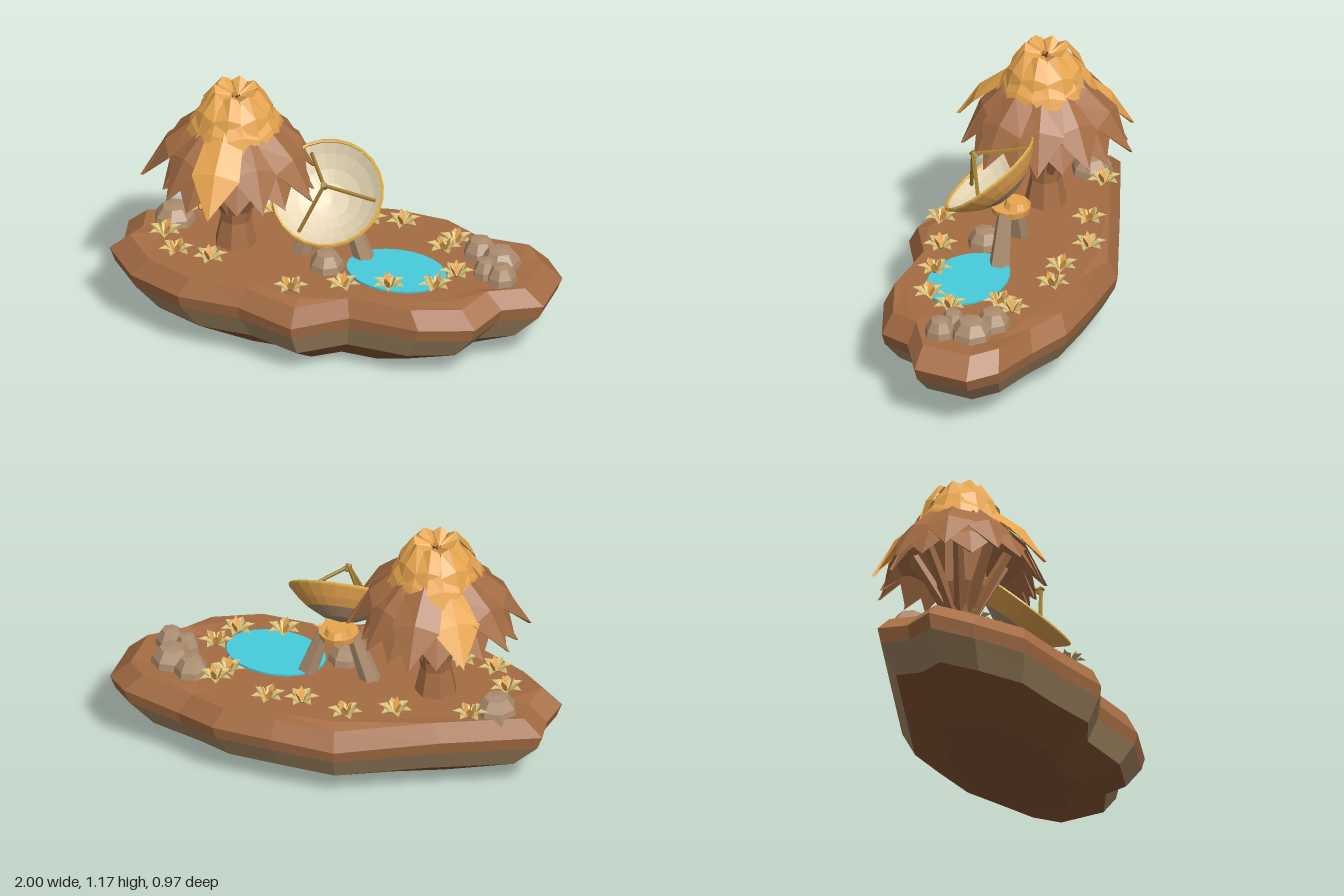
import * as THREE from 'three';

const mat = (name, color) => {
  const m = new THREE.MeshStandardMaterial({ color, flatShading: true, side: THREE.DoubleSide });
  m.name = name;
  return m;
};

export function createModel() {
  const M = {
    earth: mat('terracotta', 0xa56d44), strata: mat('stone strata', 0xa58964),
    soil: mat('dark soil', 0x845433), gold: mat('golden leaf', 0xe8a64f),
    rock: mat('rock', 0xac8d6f), water: mat('water', 0x46cbdc),
    cream: mat('cream', 0xe8d9b8), brass: mat('brass', 0xdcac48),
    strut: mat('dark brass', 0xa07c30), sprout: mat('pale sprout', 0xd6c07a),
  };
  const model = new THREE.Group();
  model.name = 'floatingIsland';
  const add = (name, geo, material, parent = model, x = 0, y = 0, z = 0) => {
    const mesh = new THREE.Mesh(geo, material);
    mesh.name = name;
    mesh.position.set(x, y, z);
    parent.add(mesh);
    return mesh;
  };
  const group = (name, x = 0, y = 0, z = 0) => {
    const g = new THREE.Group();
    g.name = name;
    g.position.set(x, y, z);
    model.add(g);
    return g;
  };
  const V = (x, y, z) => new THREE.Vector3(x, y, z);
  const facets = (pts) => {
    const g = new THREE.BufferGeometry().setFromPoints(pts);
    g.computeVertexNormals();
    return g;
  };
  const lathe = (pts, sides) => new THREE.LatheGeometry(pts.map((p) => new THREE.Vector2(...p)), sides);

  // Tapered bar between two points
  const bar = (name, a, b, ra, rb, sides, material, parent) => {
    const dir = b.clone().sub(a);
    const mid = a.clone().add(b).multiplyScalar(0.5);
    const mesh = add(name, new THREE.CylinderGeometry(rb, ra, dir.length(), sides), material, parent, mid.x, mid.y, mid.z);
    mesh.quaternion.setFromUnitVectors(V(0, 1, 0), dir.normalize());
  };

  // Island: one outline, scaled into rings at several heights
  const outline = [[-0.97, -0.21], [-0.54, -0.35], [-0.09, -0.49], [0.2, -0.48], [0.47, -0.44], [0.65, -0.34],
    [0.91, -0.27], [1, -0.15], [0.97, 0.1], [0.8, 0.19], [0.71, 0.34], [0.47, 0.41], [0.15, 0.37],
    [-0.09, 0.48], [-0.35, 0.39], [-0.63, 0.35], [-0.87, 0.21], [-1, 0.05], [-0.96, -0.07]];
  const n = outline.length;
  const ring = (s, y, wave, rise) => outline.map(([x, z], i) => V(x * s, y + wave * Math.sin(i * 2.3) + rise * x * x, z * s));
  const rings = [ring(0.8, 0.379, 0, 0), ring(0.91, 0.372, 0.012, 0.015), ring(1, 0.288, 0.014, 0.02),
    ring(0.975, 0.23, 0.012, 0.015), ring(0.86, 0.122, 0.01, 0.01), ring(0.52, 0.005, 0.005, 0)];
  const band = (k) => {
    const pts = [];
    for (let i = 0; i < n; i++) {
      const j = (i + 1) % n, u = rings[k], l = rings[k + 1];
      pts.push(u[i], u[j], l[i], u[j], l[j], l[i]);
    }
    return pts;
  };
  const cap = (r, c, up) => r.flatMap((p, i) => (up ? [c, r[(i + 1) % n], p] : [c, p, r[(i + 1) % n]]));
  const island = group('island');
  add('ground', facets([...cap(rings[0], V(0, 0.379, 0), true), ...band(0), ...band(1), ...band(2)]), M.earth, island);
  add('strataBand', facets(band(3)), M.strata, island);
  add('underside', facets([...band(4), ...cap(rings[5], V(0, 0.005, 0), false)]), M.soil, island);

  // Pond
  const pond = add('pond', new THREE.CylinderGeometry(1, 1, 0.02, 24), M.water, model, 0.3, 0.378, 0.075);
  pond.scale.set(0.23, 1, 0.17);
  pond.rotation.y = -0.2;

  // Folded leaf: stations of [radius, height, half width], ridge raised along the middle
  const leaf = (stations, angle, ridge, k = 1) => {
    const c = Math.cos(angle), s = Math.sin(angle);
    const at = (r, y, w) => V(r * c - w * s, y, r * s + w * c);
    const rows = stations.map(([r, y, w]) => [at(r * k, y, -w), at(r * k + ridge * 0.5, y + ridge * (w > 0), 0), at(r * k, y, w)]);
    const pts = [];
    for (let i = 0; i + 1 < rows.length; i++) {
      for (let j = 0; j < 2; j++) {
        const a = rows[i][j], b = rows[i][j + 1], d = rows[i + 1][j], e = rows[i + 1][j + 1];
        pts.push(a, b, d, b, e, d);
      }
    }
    return pts;
  };

  // Tree: flared trunk, branches and tiers of broad leaves
  const tree = group('tree', -0.45, 0, -0.035);
  add('trunk', lathe([[0.1, 0.36], [0.085, 0.43], [0.07, 0.5], [0.08, 0.58], [0.12, 0.68], [0.12, 0.9]], 7), M.earth, tree);
  for (let i = 0; i < 9; i++) {
    const a = i * Math.PI * 2 / 9;
    bar('branch', V(0.05 * Math.cos(a), 0.56, 0.05 * Math.sin(a)), V(0.21 * Math.cos(a), 0.83, 0.21 * Math.sin(a)), 0.028, 0.024, 5, M.earth, tree);
  }
  add('canopyCore', lathe([[0.25, 0.84], [0.18, 0.94], [0.11, 1.04], [0.001, 1.1]], 10), M.earth, tree);
  const tier = (name, count, turn, stations, ridge, material, goldLeaves = []) => {
    const plain = [], golden = [];
    for (let i = 0; i < count; i++) {
      const k = 1 + 0.06 * Math.sin(i * 2.7 + turn);
      const pts = leaf(stations, turn + i * Math.PI * 2 / count, ridge, k);
      (goldLeaves.includes(i) ? golden : plain).push(...pts);
    }
    add(name, facets(plain), material, tree);
    if (golden.length) add(name + 'Golden', facets(golden), M.gold, tree);
  };
  tier('innerLeaves', 10, 0.08, [[0.1, 1.0, 0.05], [0.2, 0.91, 0.09], [0.28, 0.82, 0.11], [0.35, 0.71, 0]], 0.025, M.earth);
  tier('outerLeaves', 10, -0.23, [[0.09, 1.05, 0.05], [0.18, 0.97, 0.09], [0.285, 0.875, 0.11], [0.39, 0.725, 0]], 0.03, M.earth, [3, 7]);
  tier('lowerCrown', 8, 0.39, [[0.05, 1.1, 0.03], [0.13, 1.075, 0.06], [0.18, 1.0, 0.075], [0.225, 0.915, 0]], 0.02, M.gold);
  tier('upperCrown', 8, 0, [[0.015, 1.12, 0.01], [0.09, 1.155, 0.035], [0.15, 1.07, 0.07], [0.195, 0.945, 0]], 0.02, M.gold);

  // Dish stand
  const stand = group('dishStand');
  for (const s of [-1, 1]) bar('standLeg', V(s * 0.145 - 0.005, 0.36, -0.015), V(s * 0.065 - 0.005, 0.6, -0.015), 0.048, 0.032, 6, M.rock, stand);
  add('collar', new THREE.CylinderGeometry(0.09, 0.085, 0.03, 12), M.gold, stand, -0.005, 0.597, -0.022);
  add('mount', new THREE.CylinderGeometry(0.045, 0.06, 0.03, 10), M.gold, stand, -0.005, 0.625, -0.05);

  // Dish: cream bowl, two-tone back, rim and three feed struts
  const dish = group('dish', -0.01, 0.75, 0.08);
  dish.rotation.x = 0.72;
  const bowl = (radii, drop) => lathe(radii.map((r) => [r, -0.125 * (1 - (r / 0.248) ** 2) - drop]), 24);
  add('bowl', bowl([0.001, 0.08, 0.14, 0.2, 0.245], 0), M.cream, dish);
  add('backCentre', bowl([0.001, 0.08, 0.155], 0.01), M.rock, dish);
  add('backRing', bowl([0.155, 0.2, 0.25], 0.01), M.gold, dish);
  const rim = add('rim', new THREE.TorusGeometry(0.244, 0.008, 5, 24), M.brass, dish);
  rim.rotation.x = Math.PI / 2;
  for (let i = 0; i < 3; i++) {
    const a = i * Math.PI * 2 / 3;
    bar('feedStrut', V(0.21 * Math.cos(a), -0.03, 0.21 * Math.sin(a)), V(0, 0.115, 0), 0.009, 0.009, 5, M.strut, dish);
  }
  add('feed', new THREE.CylinderGeometry(0.015, 0.015, 0.035, 6), M.strut, dish, 0, 0.108, 0);

  // Rocks: low faceted domes
  const rocks = [[0.63, -0.15, 0.08], [0.735, -0.085, 0.095], [0.77, 0.05, 0.07], [0.69, 0.015, 0.06], [-0.01, 0.1, 0.08], [-0.75, -0.15, 0.095]];
  rocks.forEach(([x, z, r], i) => {
    const g = lathe([[r * 1.05, -0.03], [r * 0.92, 0.03], [r * 0.58, 0.074], [0.001, 0.08]], 7);
    add('rock', g, M.rock, model, x, 0.38, z).rotation.y = i * 0.9;
  });

  // Sprouts: spreading pale leaves around a few steep golden ones
  const spots = [[-0.11, -0.35], [0.1, -0.29], [0.25, -0.3], [0.51, -0.2], [0.47, -0.13], [0.57, 0.07], [0.5, 0.19],
    [0.3, 0.23], [0.1, 0.27], [-0.12, 0.34], [-0.52, 0.17], [-0.76, 0], [-0.32, -0.28], [-0.65, -0.24], [-0.68, 0.14]];
  const spread = [], steep = [];
  for (let i = 0; i < 6; i++) spread.push(...leaf([[0.005, 0.005, 0.009], [0.045, 0.036, 0.019], [0.08, 0.032, 0]], i * Math.PI / 3, -0.008));
  for (let i = 0; i < 3; i++) steep.push(...leaf([[0.008, 0.005, 0.01], [0.022, 0.042, 0.016], [0.034, 0.068, 0]], 0.5 + i * Math.PI * 2 / 3, -0.006));
  const spreadGeo = facets(spread), steepGeo = facets(steep);
  spots.forEach(([x, z], i) => {
    const plant = group('sprout', x, 0.388, z);
    plant.rotation.y = i * 1.3;
    add('spreadLeaves', spreadGeo, M.sprout, plant);
    add('steepLeaves', steepGeo, M.gold, plant);
  });

  return model;
}
